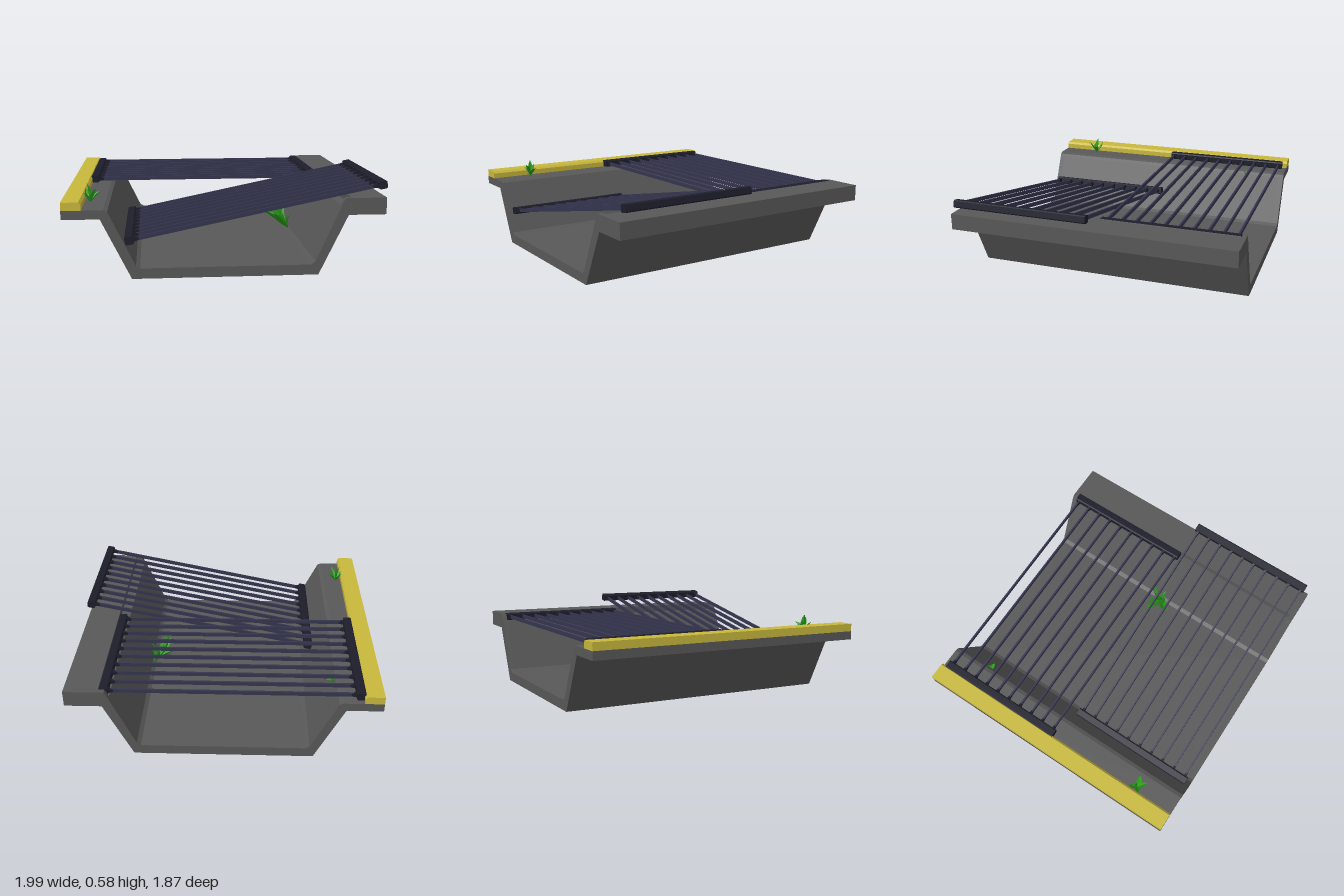
import * as THREE from 'three';

const mat = (color, side = THREE.FrontSide) => new THREE.MeshStandardMaterial({ color, flatShading: true, side });
const concrete = mat(0x585858), paint = mat(0xc8b83c), railMat = mat(0x1e1e2c), barMat = mat(0x35354f);
const leafMat = mat(0x2ba01c, THREE.DoubleSide);

function add(parent, name, geometry, material) {
  const mesh = new THREE.Mesh(geometry, material);
  mesh.name = name;
  parent.add(mesh);
  return mesh;
}

// Extrude an XY outline from z0 to z1
function prism(points, z0, z1) {
  const shape = new THREE.Shape(points.map(([x, y]) => new THREE.Vector2(x, y)));
  return new THREE.ExtrudeGeometry(shape, { depth: z1 - z0, bevelEnabled: false }).translate(0, 0, z0);
}

// Channel outline; the right ledge may carry a recess for the grate rail
function channelOutline(recessed) {
  const ledge = recessed
    ? [[0.98, 0.48], [0.765, 0.48], [0.765, 0.43], [0.7, 0.43]]
    : [[0.98, 0.48], [0.725, 0.48], [0.71, 0.455]];
  return [[-1, 0.375], [-0.77, 0.375], [-0.585, 0], [0.565, 0], [0.745, 0.375], [0.98, 0.375], ...ledge,
    [0.545, 0.085], [0.52, 0.065], [-0.535, 0.065], [-0.56, 0.08], [-0.715, 0.4], [-0.725, 0.42], [-0.75, 0.43], [-1, 0.43]];
}

// Grate: two end rails joined by ten bars with tapered sockets
function makeGrate(name) {
  const grate = new THREE.Group();
  grate.name = name;
  const half = 0.798, depth = 0.9;
  const c = 0.007, w = 0.0275, h = 0.025;
  const railOutline = [[-w + c, -h], [w - c, -h], [w, -h + c], [w, h - c], [w - c, h], [-w + c, h], [-w, h - c], [-w, -h + c]];
  for (const side of [-1, 1]) {
    add(grate, 'endRail', prism(railOutline, -depth / 2, depth / 2), railMat).position.x = side * half;
  }
  for (let i = 0; i < 10; i++) {
    const z = (i - 4.5) * 0.0945;
    add(grate, 'bar', new THREE.BoxGeometry(2 * half - 0.04, 0.025, 0.012), barMat).position.z = z;
    for (const side of [-1, 1]) {
      const socket = new THREE.CylinderGeometry(0.012, 0.023, 0.045, 4, 1).rotateY(Math.PI / 4);
      socket.scale(1, 1, 0.6).rotateZ(side * Math.PI / 2);
      add(grate, 'barSocket', socket, railMat).position.set(side * (half - 0.045), 0, z);
    }
  }
  return grate;
}

// Folded blade swept along a bent path from the base, through mid, to the tip
function leafGeometry(mid, tip, width) {
  const curve = new THREE.QuadraticBezierCurve3(new THREE.Vector3(), new THREE.Vector3(...mid), new THREE.Vector3(...tip));
  const widths = [0.3, 0.85, 1, 0.6, 0];
  const pos = [], index = [];
  const across = new THREE.Vector3(-tip[2], 0, tip[0]).normalize();
  widths.forEach((k, i) => {
    const p = curve.getPoint(i / 4);
    const fold = curve.getTangent(i / 4).cross(across).multiplyScalar(width * k * 0.35);
    for (const s of [-1, 0, 1]) {
      const q = p.clone().addScaledVector(across, s * width * k * 0.5);
      if (s === 0) q.add(fold);
      pos.push(q.x, q.y, q.z);
    }
    if (i < 4) for (const s of [0, 1]) {
      const a = i * 3 + s;
      index.push(a, a + 1, a + 3, a + 1, a + 4, a + 3);
    }
  });
  const g = new THREE.BufferGeometry();
  g.setAttribute('position', new THREE.Float32BufferAttribute(pos, 3));
  g.setIndex(index);
  g.computeVertexNormals();
  return g;
}

function makePlant(name, position, leaves) {
  const plant = new THREE.Group();
  plant.name = name;
  for (const [mid, tip, width] of leaves) add(plant, 'leaf', leafGeometry(mid, tip, width), leafMat);
  plant.position.set(...position);
  return plant;
}

export function createModel() {
  const model = new THREE.Group();
  model.name = 'drainageChannel';

  // Concrete channel with closed ends on the rail recess
  const channel = new THREE.Group();
  channel.name = 'channel';
  model.add(channel);
  add(channel, 'channelBody', prism(channelOutline(true), -0.905, 0.905), concrete);
  add(channel, 'channelFrontEnd', prism(channelOutline(false), 0.905, 0.937), concrete);
  add(channel, 'channelBackEnd', prism(channelOutline(false), -0.937, -0.905), concrete);

  // Painted curb with a chamfered inner edge
  add(model, 'paintedCurb', prism([[-1, 0.43], [-0.88, 0.43], [-0.88, 0.465], [-0.893, 0.48], [-1, 0.48]], -0.937, 0.937), paint);

  // One grate in place, one lifted out and leaning on the ledge
  const flat = makeGrate('seatedGrate');
  flat.position.set(-0.063, 0.457, -0.453);
  const leaning = makeGrate('leaningGrate');
  leaning.position.set(0.182, 0.391, 0.453);
  leaning.rotation.z = 0.203;
  model.add(flat, leaning);

  // Weeds
  model.add(makePlant('largeWeed', [0.54, 0.08, 0], [
    [[-0.1, 0.13, -0.01], [-0.2, 0.125, -0.03], 0.075],
    [[-0.09, 0.1, 0.02], [-0.12, 0.21, 0.02], 0.07],
    [[-0.12, 0.11, 0.06], [-0.12, 0.13, 0.115], 0.06],
    [[-0.08, 0.1, -0.04], [0, 0.21, -0.08], 0.035],
    [[-0.06, 0.1, 0.02], [-0.1, 0.2, 0.05], 0.05],
    [[-0.03, 0.09, 0.01], [0.02, 0.09, 0.01], 0.03],
  ]));
  model.add(makePlant('curbWeed', [-0.845, 0.43, 0.66], [
    [[0.01, 0.07, 0], [-0.02, 0.115, -0.01], 0.035],
    [[0.03, 0.06, -0.01], [0.065, 0.06, -0.02], 0.035],
    [[0.02, 0.07, 0.02], [0.04, 0.09, 0.05], 0.03],
    [[-0.02, 0.06, 0.01], [-0.04, 0.06, 0.03], 0.035],
    [[-0.02, 0.05, -0.03], [-0.035, 0.08, -0.045], 0.03],
  ]));
  model.add(makePlant('slopeWeed', [-0.71, 0.385, -0.655], [
    [[0.02, 0.04, 0], [0.04, 0.02, 0], 0.025],
    [[-0.01, 0.04, 0.01], [-0.035, 0.04, 0.01], 0.025],
    [[0, 0.04, 0.01], [0.01, 0.055, 0.025], 0.025],
    [[0.01, 0.04, -0.01], [-0.01, 0.05, -0.025], 0.02],
  ]));
  model.add(makePlant('tinyWeed', [-0.885, 0.43, -0.42], [
    [[0.005, 0.03, 0], [0.01, 0.05, 0.02], 0.015],
    [[0, 0.03, 0], [-0.008, 0.055, -0.02], 0.015],
  ]));
  return model;
}
